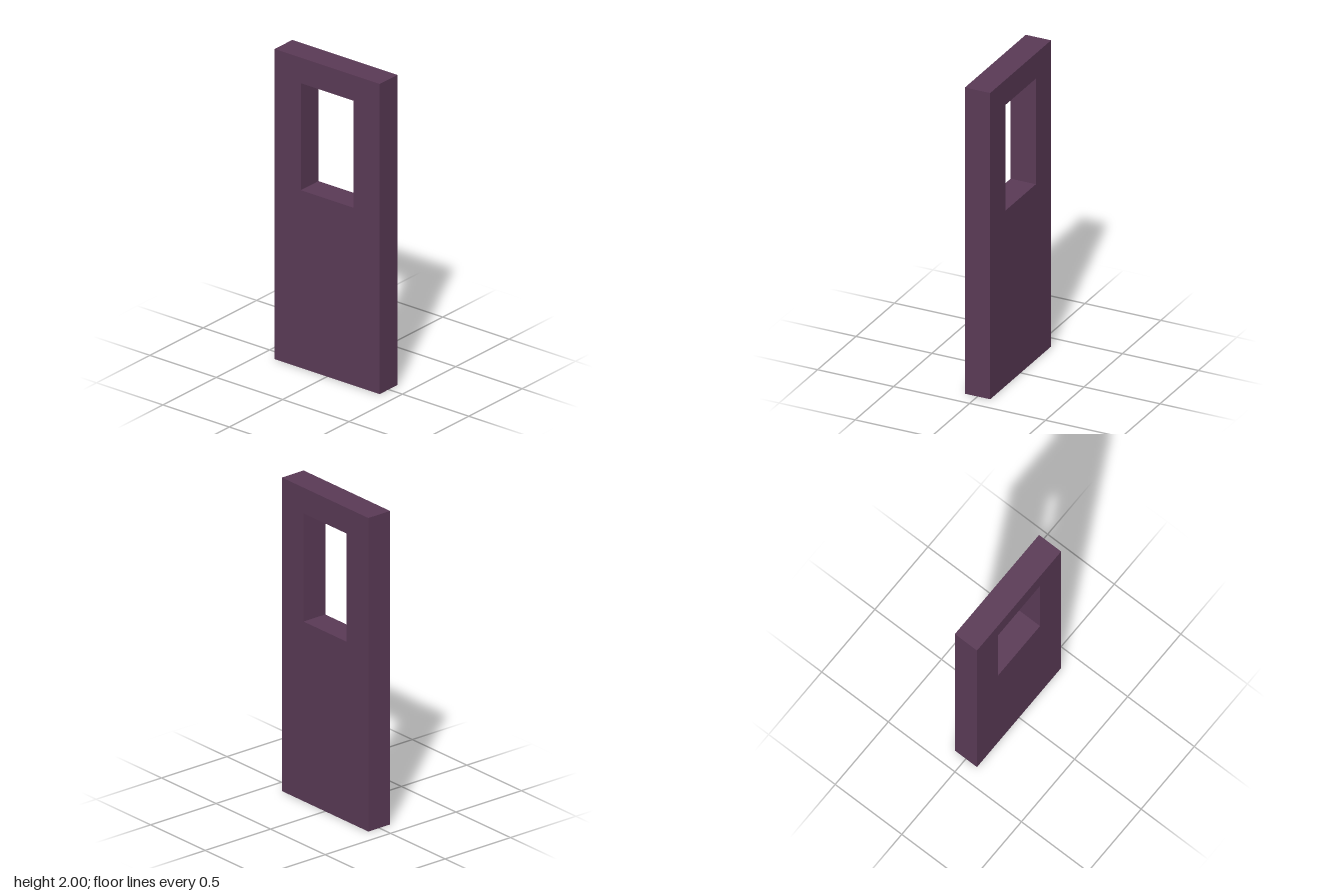
import * as THREE from 'three';

const HEIGHT = 2, WIDTH = 0.792, THICKNESS = 0.166;

// Adds a rectangle, centred across, from y0 to y1, to a shape or path.
function rectangle(path, width, y0, y1) {
  const h = width / 2;
  path.moveTo(-h, y0);
  path.lineTo(h, y0);
  path.lineTo(h, y1);
  path.lineTo(-h, y1);
  path.closePath();
  return path;
}

export function createModel() {
  const group = new THREE.Group();
  group.name = 'door';

  // Door panel with a window opening cut right through
  const outline = rectangle(new THREE.Shape(), WIDTH, 0, HEIGHT);
  outline.holes.push(rectangle(new THREE.Path(), 0.396, 1.146, 1.836));

  const geometry = new THREE.ExtrudeGeometry(outline, { depth: THICKNESS, bevelEnabled: false });
  geometry.translate(0, 0, -THICKNESS / 2);
  geometry.rotateY(Math.PI / 2); // the broad faces look along x

  const panel = new THREE.Mesh(geometry, new THREE.MeshStandardMaterial({ color: 0x5a3a56 }));
  panel.name = 'doorPanel';
  group.add(panel);
  return group;
}
